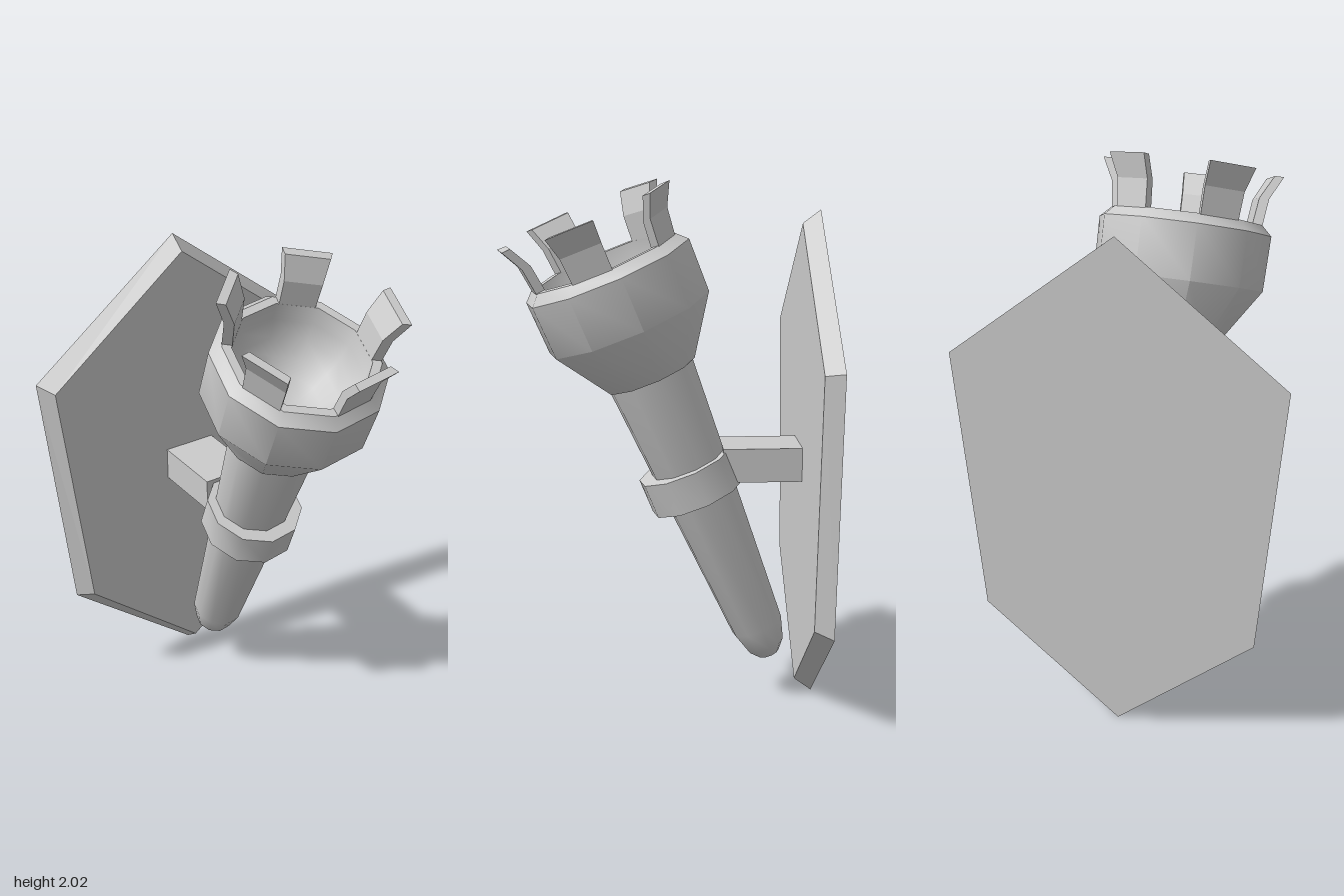
import * as THREE from 'three';
import { toCreasedNormals } from 'three/addons/utils/BufferGeometryUtils.js';

const DEG = Math.PI / 180;
const SIDES = 10;
const START = -10 * DEG; // first corner of the ten-sided parts

const material = new THREE.MeshStandardMaterial({ color: 0xcccccc });

function addMesh(parent, name, geometry) {
  const mesh = new THREE.Mesh(geometry, material);
  mesh.name = name;
  parent.add(mesh);
  return mesh;
}

// Ten-sided turned part from [radius, height] pairs, outside running upwards
function turned(profile) {
  const points = profile.map(([r, y]) => new THREE.Vector2(r, y));
  const lathe = new THREE.LatheGeometry(points, SIDES, START);
  return toCreasedNormals(lathe, 40 * DEG);
}

// Closed solid through rings of corners (counter-clockwise seen from the last ring's end)
function loft(rings) {
  const n = rings[0].length;
  const last = (rings.length - 1) * n;
  const index = [];
  for (let i = 0; i < rings.length - 1; i++) {
    for (let j = 0; j < n; j++) {
      const a = i * n + j, b = i * n + (j + 1) % n;
      index.push(a, b, b + n, a, b + n, a + n);
    }
  }
  for (let j = 1; j < n - 1; j++) {
    index.push(0, j + 1, j, last, last + j, last + j + 1);
  }
  const geometry = new THREE.BufferGeometry();
  geometry.setAttribute('position', new THREE.Float32BufferAttribute(rings.flat(2), 3));
  geometry.setIndex(index);
  const flat = geometry.toNonIndexed();
  flat.computeVertexNormals();
  return flat;
}

// One crown prong: straight at the rim, then flaring outwards
function prongGeometry() {
  const half = 15.5 * DEG;
  const rows = [[0.87, 0.25, 0.288], [0.9, 0.252, 0.29], [1.0, 0.265, 0.302], [1.087, 0.312, 0.347]];
  const corner = (r, a, y) => [r * Math.sin(a), y, r * Math.cos(a)];
  return loft(rows.map(([y, inner, outer]) => [
    corner(outer, -half, y), corner(outer, half, y),
    corner(inner, half, y), corner(inner, -half, y),
  ]));
}

export function createModel() {
  const model = new THREE.Group();
  model.name = 'wallTorch';

  // Six-sided wall plaque with a bevelled front edge
  const back = [[-0.01, 1.9], [-0.625, 1.43], [-0.52, 0.425], [0.005, 0.0], [0.525, 0.4], [0.622, 1.4]];
  const front = [[-0.01, 1.85], [-0.58, 1.405], [-0.472, 0.45], [0.005, 0.05], [0.48, 0.42], [0.575, 1.385]];
  addMesh(model, 'wallPlaque', loft([
    back.map(([x, y]) => [x, y, -0.602]),
    front.map(([x, y]) => [x, y, -0.535]),
  ]));

  // Bracket from plaque to collar
  const bracket = addMesh(model, 'bracket', new THREE.BoxGeometry(0.21, 0.13, 0.31));
  bracket.position.set(0, 0.95, -0.39);

  // Torch, leaning forward from the wall
  const torch = new THREE.Group();
  torch.name = 'torch';
  torch.position.set(0.025, 0.885, -0.133);
  torch.rotation.x = 22.5 * DEG;
  model.add(torch);

  addMesh(torch, 'handle', turned([
    [0, -0.78], [0.042, -0.775], [0.075, -0.735], [0.102, -0.645], [0.172, 0.45],
  ]));

  const collar = addMesh(torch, 'collar', turned([
    [0.1, -0.068], [0.188, -0.068], [0.188, 0.067], [0.1, 0.067],
  ]));
  collar.position.z = 0.014;

  // Bowl: outer wall, bevelled rim and rounded hollow
  const hollow = [];
  for (let i = 0; i <= 6; i++) {
    const a = i / 6 * Math.PI / 2;
    hollow.push([0.255 * Math.cos(a), 0.9 - 0.28 * Math.sin(a)]);
  }
  addMesh(torch, 'bowl', turned([
    [0, 0.44], [0.18, 0.44], [0.325, 0.655], [0.33, 0.862], [0.29, 0.9], ...hollow,
  ]));

  // Five prongs around the rim
  const prong = prongGeometry();
  for (let i = 0; i < 5; i++) {
    addMesh(torch, 'crownProng', prong).rotation.y = (8 + 72 * i) * DEG;
  }

  return model;
}
